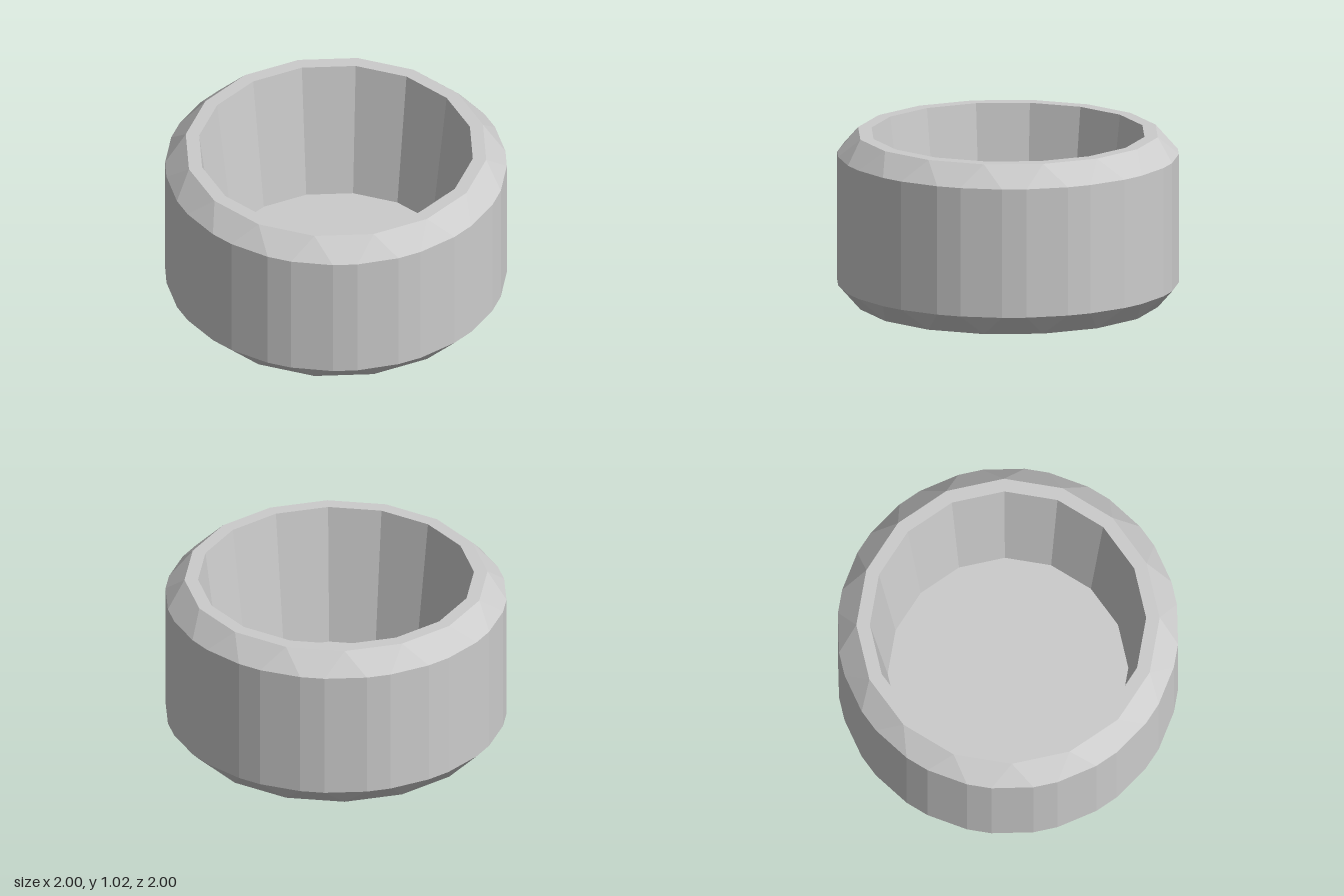
import * as THREE from 'three';

const SIDES = 16;
const SPREAD = THREE.MathUtils.degToRad(7.1); // half-width of each bevelled corner

// Ring of paired points; spread 0 merges each pair into one sharp corner.
function ring(radius, y, spread = 0) {
  const points = [];
  for (let i = 0; i < SIDES; i++) {
    for (const side of [-1, 1]) {
      const t = (i / SIDES) * Math.PI * 2 + side * spread;
      points.push(new THREE.Vector3(Math.sin(t) * radius, y, Math.cos(t) * radius));
    }
  }
  return points;
}

// Faceted band joining two rings, skipping collapsed triangles.
function band(a, b) {
  const positions = [];
  const area = new THREE.Triangle();
  const tri = (p, q, r) => {
    if (area.set(p, q, r).getArea() > 1e-6) {
      for (const v of [p, q, r]) positions.push(v.x, v.y, v.z);
    }
  };
  for (let i = 0; i < a.length; i++) {
    const j = (i + 1) % a.length;
    tri(a[i], a[j], b[j]);
    tri(a[i], b[j], b[i]);
  }
  const geometry = new THREE.BufferGeometry();
  geometry.setAttribute('position', new THREE.Float32BufferAttribute(positions, 3));
  geometry.computeVertexNormals();
  return geometry;
}

export function createModel() {
  const group = new THREE.Group();
  group.name = 'bowl';
  const grey = new THREE.MeshStandardMaterial({ color: 0xcccccc, flatShading: true });
  grey.name = 'grey';

  const outer = 1 / Math.cos(SPREAD);
  // Profile from the underside, up the outside and down into the hollow
  const rings = [
    ring(0, 0),
    ring(0.895, 0),
    ring(outer, 0.125, SPREAD),
    ring(outer, 0.9, SPREAD),
    ring(0.895, 1.025),
    ring(0.815, 1.025),
    ring(0.71, 0.17),
    ring(0, 0.17),
  ];
  const names = ['base', 'lowerBevel', 'outerWall', 'upperBevel', 'rim', 'innerWall', 'floor'];
  names.forEach((name, i) => {
    const mesh = new THREE.Mesh(band(rings[i], rings[i + 1]), grey);
    mesh.name = name;
    group.add(mesh);
  });
  return group;
}
